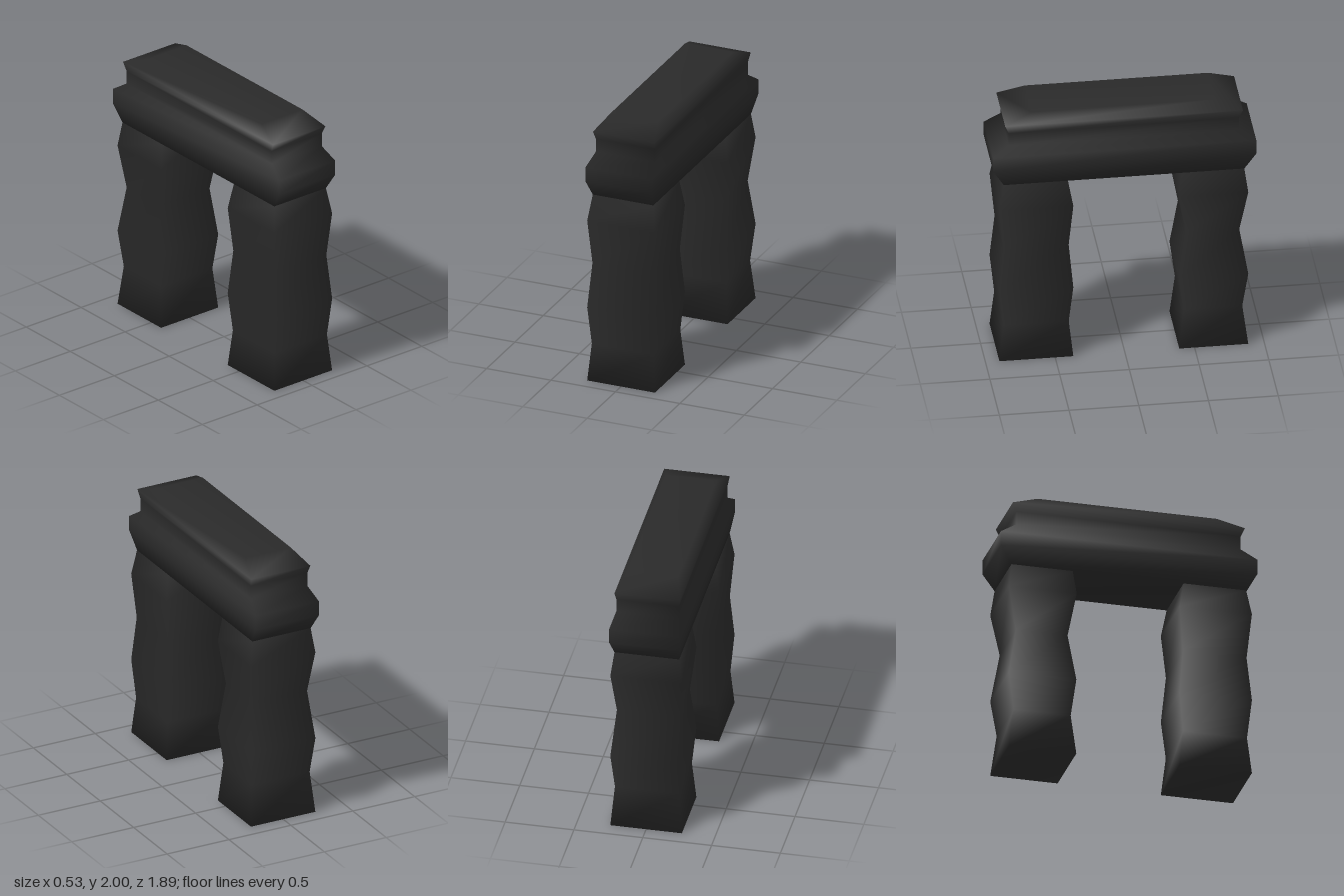
import * as THREE from 'three';

const stone = new THREE.MeshStandardMaterial({ color: 0x2a2a2a });

// Skin a stack of rectangular sections [y, halfWidthX, zBack, zFront], with smooth shared corners
function loftStone(name, sections, capTop) {
  const positions = [], index = [];
  for (const [y, w, zb, zf] of sections) {
    positions.push(-w, y, zf, w, y, zf, w, y, zb, -w, y, zb);
  }
  for (let i = 0; i < sections.length - 1; i++) {
    for (let k = 0; k < 4; k++) {
      const a = i * 4 + k, b = i * 4 + (k + 1) % 4;
      index.push(a, b, b + 4, a, b + 4, a + 4);
    }
  }
  index.push(0, 2, 1, 0, 3, 2);
  if (capTop) {
    const t = (sections.length - 1) * 4;
    index.push(t, t + 1, t + 2, t, t + 2, t + 3);
  }
  const geometry = new THREE.BufferGeometry();
  geometry.setAttribute('position', new THREE.Float32BufferAttribute(positions, 3));
  geometry.setIndex(index);
  geometry.computeVertexNormals();
  const mesh = new THREE.Mesh(geometry, stone);
  mesh.name = name;
  return mesh;
}

export function createModel() {
  const group = new THREE.Group();
  group.name = 'stoneArch';

  // Front upright with gentle bulges
  group.add(loftStone('frontPillar', [
    [0, 0.263, 0.37, 0.9],
    [0.28, 0.24, 0.4, 0.87],
    [0.57, 0.263, 0.37, 0.9],
    [0.91, 0.236, 0.4, 0.868],
    [1.245, 0.263, 0.37, 0.9],
    [1.44, 0.235, 0.405, 0.865],
  ], false));

  // Back upright, more deeply pinched
  group.add(loftStone('backPillar', [
    [0, 0.26, -0.885, -0.39],
    [0.305, 0.235, -0.845, -0.425],
    [0.58, 0.26, -0.885, -0.39],
    [0.935, 0.225, -0.825, -0.445],
    [1.255, 0.26, -0.885, -0.387],
    [1.44, 0.235, -0.86, -0.41],
  ], false));

  // Stepped beam across the top
  group.add(loftStone('lintel', [
    [1.44, 0.235, -0.86, 0.865],
    [1.57, 0.257, -0.943, 0.943],
    [1.68, 0.257, -0.943, 0.943],
    [1.76, 0.228, -0.823, 0.827],
    [1.86, 0.228, -0.823, 0.827],
    [1.925, 0.238, -0.85, 0.855],
    [2, 0.185, -0.655, 0.66],
  ], true));

  return group;
}
